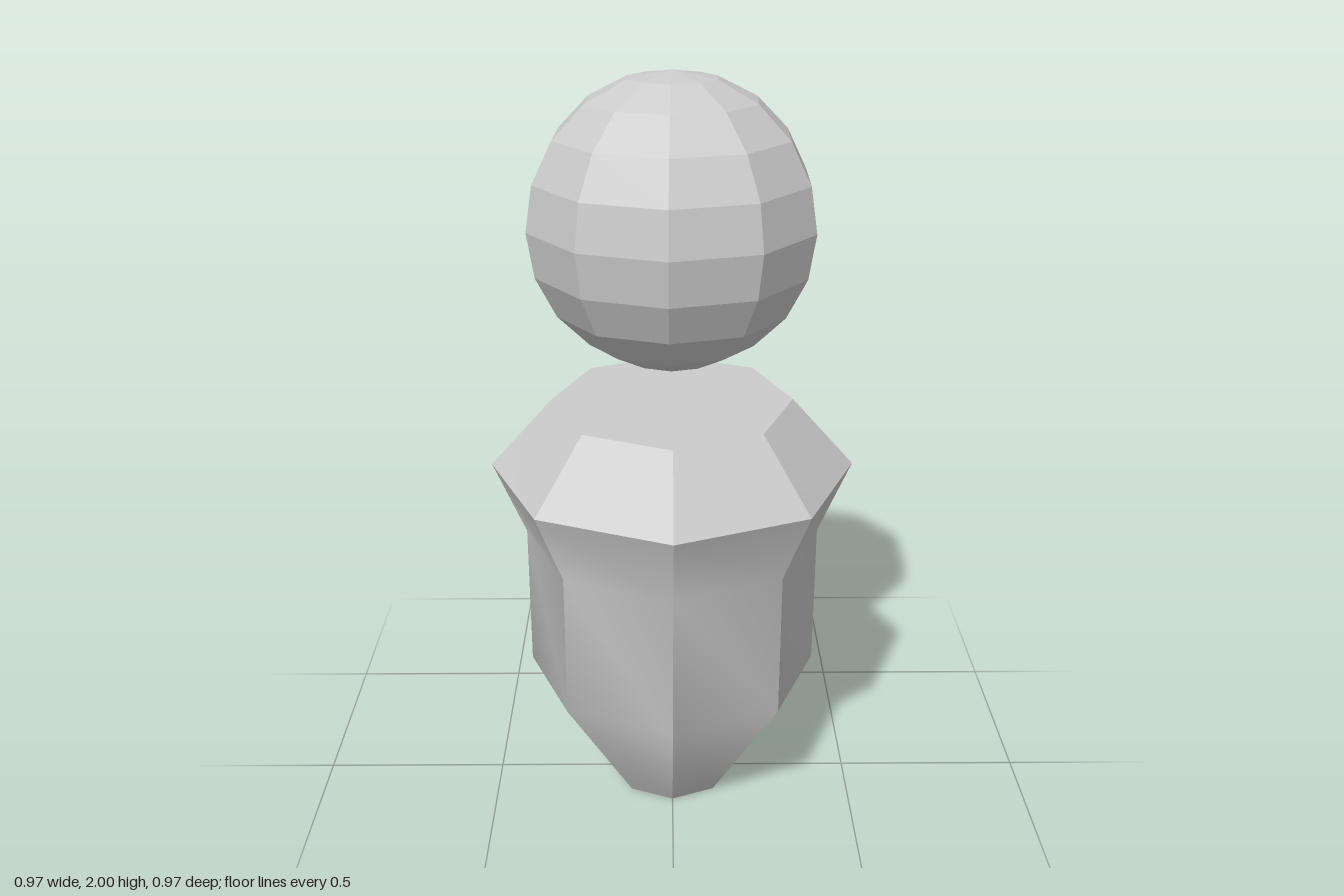
import * as THREE from 'three';
import { toCreasedNormals } from 'three/addons/utils/BufferGeometryUtils.js';

export function createModel() {
  const group = new THREE.Group();

  // Eight-sided body: tapered foot, straight waist, flared shoulders, flat top
  const profile = [[0, 0], [0.165, 0], [0.397, 0.37], [0.397, 0.77], [0.483, 0.97], [0.318, 1.155], [0, 1.155]]
    .map(([r, y]) => new THREE.Vector2(r, y));
  const lathe = new THREE.LatheGeometry(profile, 8);

  // The top rim is slightly deeper than it is wide
  const pos = lathe.attributes.position;
  for (let i = 0; i < pos.count; i++) {
    if (pos.getY(i) > 1.1) pos.setZ(i, pos.getZ(i) * 1.082);
  }
  // Sharp corners between sides, soft bends up each side
  const body = new THREE.Mesh(
    toCreasedNormals(lathe, 0.56),
    new THREE.MeshStandardMaterial({ color: 0xcccccc })
  );
  body.name = 'body';
  group.add(body);

  // Faceted head floating above the body
  const head = new THREE.Mesh(
    new THREE.SphereGeometry(0.372, 10, 10, THREE.MathUtils.degToRad(16.3)),
    new THREE.MeshStandardMaterial({ color: 0xcccccc, flatShading: true })
  );
  head.name = 'head';
  head.position.y = 1.628;
  group.add(head);

  return group;
}
